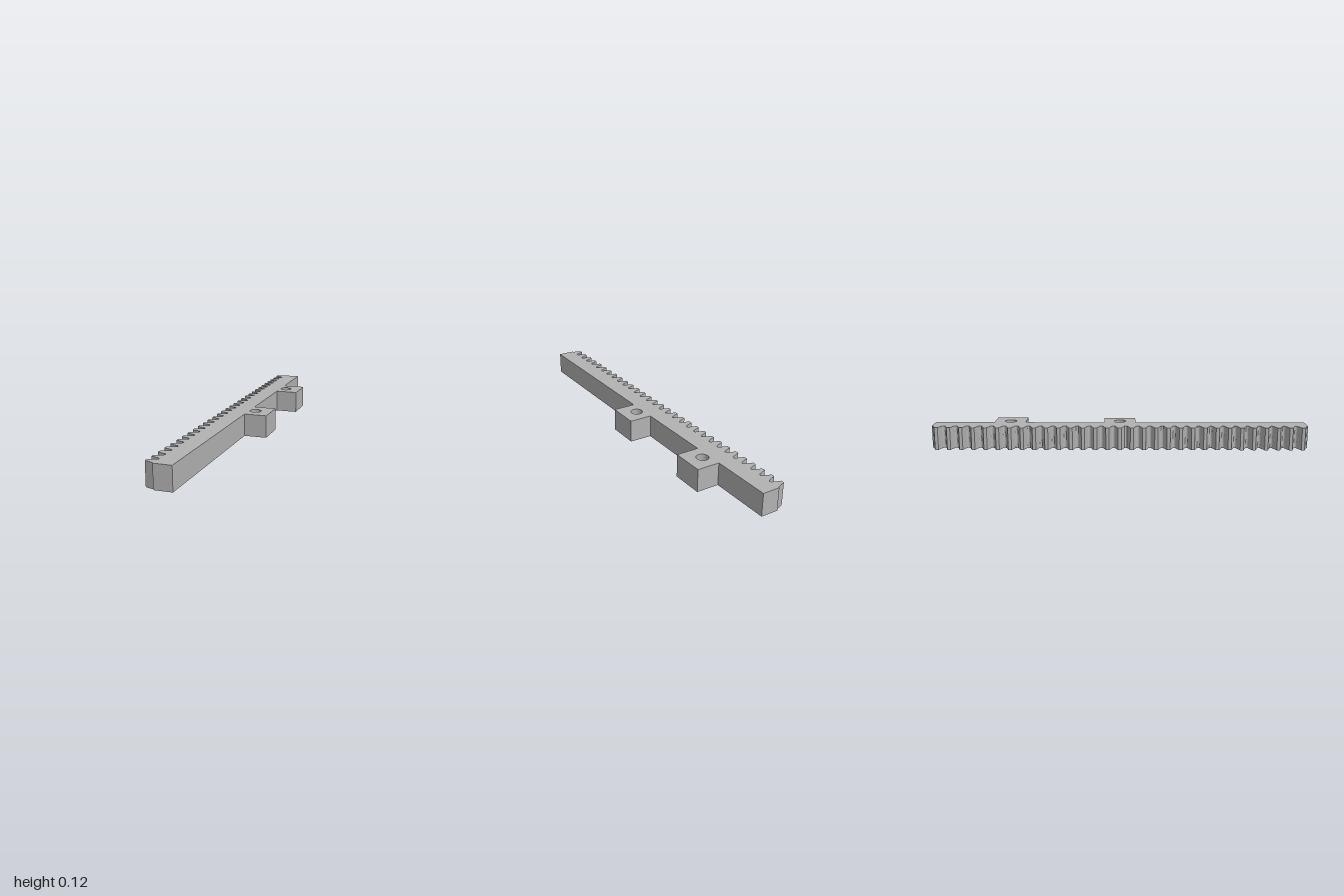
import * as THREE from 'three';

const HEIGHT = 0.12;
const TEETH = 31;
const PITCH = 2 / TEETH;
const TIP_X = -0.13, ROOT_X = -0.083, BACK_X = 0.008, LUG_X = 0.128;
const TIP_HALF = 0.0087;          // half the width of a tooth tip
const GULLET_R = 0.0097;          // rounded root between teeth
const FLANK = THREE.MathUtils.degToRad(70);
const LUGS = [0, 0.597];          // lug centres, measured towards the back
const LUG_HALF = 0.085;

// Plan outline: x is sideways, y points towards the back
function rackOutline() {
  const pts = [];
  const add = (x, y) => pts.push(new THREE.Vector2(x, y));

  // Toothed edge, front to back: rounded gullet, then straight-flanked tooth
  for (let k = 0; k <= TEETH; k++) {
    const y = -1 + k * PITCH;
    const from = k === 0 ? 0 : -FLANK;
    const to = k === TEETH ? 0 : FLANK;
    const steps = from === 0 || to === 0 ? 4 : 8;
    for (let i = 0; i <= steps; i++) {
      const a = from + (to - from) * i / steps;
      add(ROOT_X - GULLET_R + GULLET_R * Math.cos(a), y + GULLET_R * Math.sin(a));
    }
    if (k < TEETH) {
      add(TIP_X, y + PITCH / 2 - TIP_HALF);
      add(TIP_X, y + PITCH / 2 + TIP_HALF);
    }
  }

  // Plain edge, back to front, stepping out around each lug
  add(BACK_X, 1);
  for (const c of [...LUGS].reverse()) {
    add(BACK_X, c + LUG_HALF);
    add(LUG_X, c + LUG_HALF);
    add(LUG_X, c - LUG_HALF);
    add(BACK_X, c - LUG_HALF);
  }
  add(BACK_X, -1);
  return new THREE.Shape(pts);
}

export function createModel() {
  const steel = new THREE.MeshStandardMaterial({ color: 0xb2b2b2 });
  steel.name = 'grey steel';

  // Bolt holes through the lugs
  const shape = rackOutline();
  for (const c of LUGS) {
    shape.holes.push(new THREE.Path().absarc(0.041, c, 0.031, 0, Math.PI * 2, false));
  }

  const geometry = new THREE.ExtrudeGeometry(shape, {
    depth: HEIGHT, bevelEnabled: false, curveSegments: 32,
  });
  geometry.rotateX(-Math.PI / 2);

  const rack = new THREE.Mesh(geometry, steel);
  rack.name = 'toothedRackWithLugs';

  const group = new THREE.Group();
  group.name = 'gearRack';
  group.add(rack);
  return group;
}
